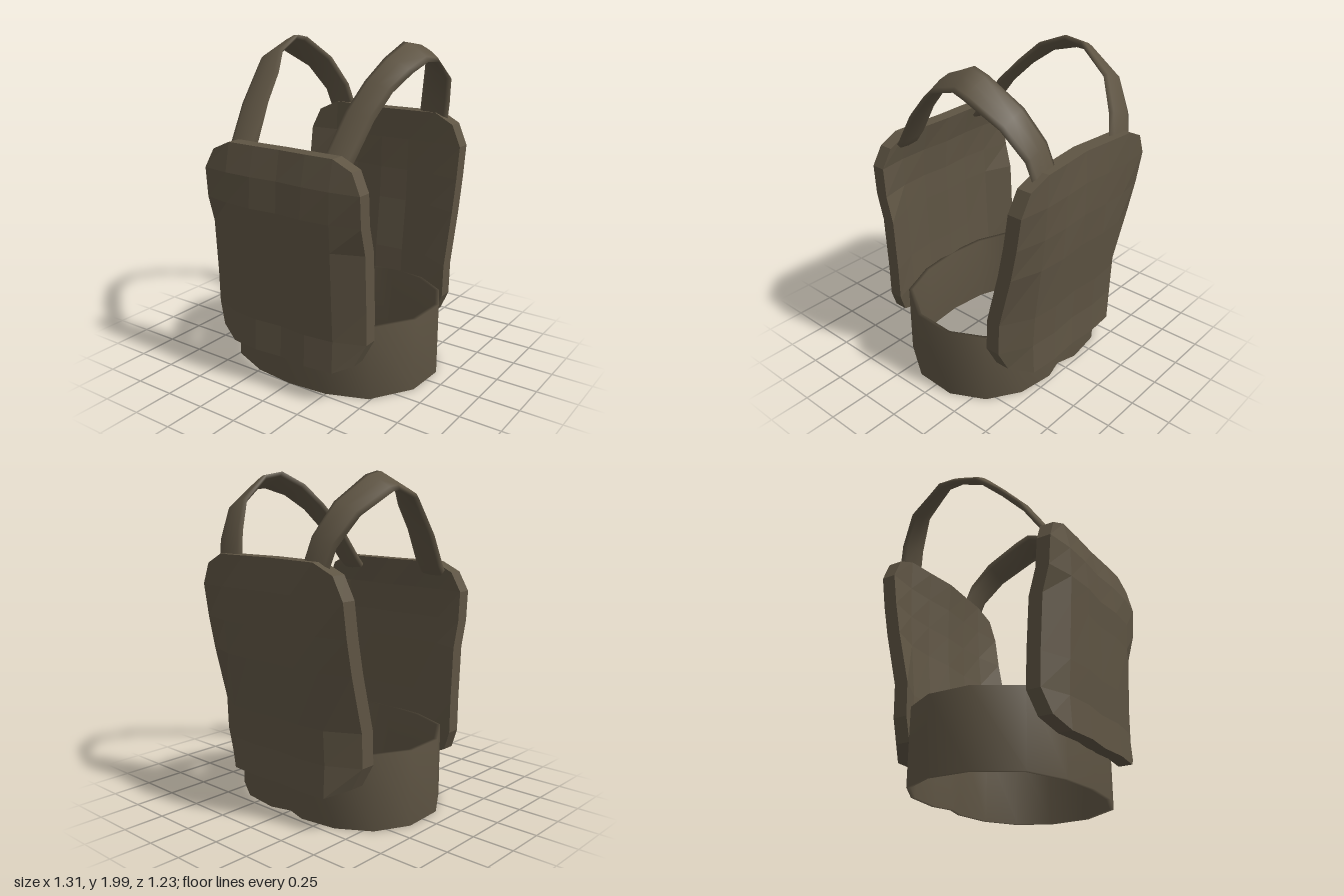
import * as THREE from 'three';

// Skin closed rings of points; loop joins the last ring to the first, caps closes folded rings
function loft(rings, { loop = false, caps = false } = {}) {
  const n = rings[0].length;
  const index = [];
  const quad = (a, b, c, d) => index.push(a, b, c, a, c, d);
  const steps = loop ? rings.length : rings.length - 1;
  for (let i = 0; i < steps; i++) {
    const p = i * n, q = ((i + 1) % rings.length) * n;
    for (let j = 0; j < n; j++) {
      const k = (j + 1) % n;
      quad(p + j, p + k, q + k, q + j);
    }
  }
  if (caps) {
    const top = (rings.length - 1) * n;
    for (let j = 0; j < n / 2 - 1; j++) {
      quad(n - 1 - j, n - 2 - j, j + 1, j);
      quad(top + j, top + j + 1, top + n - 2 - j, top + n - 1 - j);
    }
  }
  const g = new THREE.BufferGeometry();
  g.setAttribute('position', new THREE.Float32BufferAttribute(rings.flat(2), 3));
  g.setIndex(index);
  g.computeVertexNormals();
  return g;
}

// Curved armour panel facing +z: rows are [y, depth at each column from the centre out]
function plateGeometry(columns, rows, thickness) {
  const last = rows.length - 1;
  const rings = rows.map(([y, ...depth], r) => {
    const front = [];
    for (let c = -3; c <= 3; c++) {
      const a = Math.abs(c);
      let x = columns[a], py = y;
      if (a === 3 && (r === 0 || r === last)) { // clipped corners
        x *= 0.89;
        py += (rows[r === 0 ? 1 : last - 1][0] - y) * 0.32;
      }
      front.push([Math.sign(c) * x, py, depth[a]]);
    }
    const back = front.map(([x, py, z]) => [x, py, z - thickness]).reverse();
    return [...front, ...back];
  });
  const g = loft(rings, { caps: true }).toNonIndexed();
  g.computeVertexNormals(); // faceted
  return g;
}

// Flattened oval strap over one shoulder; side is 1 (left) or -1 (right)
function strapGeometry(side) {
  // x, y, z, outward tilt, from chest to back
  const stations = [
    [0.33, 1.37, 0.5, 0], [0.335, 1.43, 0.45, 0], [0.365, 1.63, 0.315, 0.08],
    [0.395, 1.77, 0.18, 0.16], [0.445, 1.875, 0.06, 0.38], [0.455, 1.935, -0.11, 0.55],
    [0.475, 1.92, -0.21, 0.55], [0.435, 1.79, -0.42, 0.4], [0.37, 1.62, -0.525, 0.15],
    [0.335, 1.46, -0.565, 0],
  ];
  const centres = stations.map(([x, y, z]) => new THREE.Vector3(x, y, z));
  const rings = stations.map((s, i) => {
    const along = centres[Math.min(i + 1, centres.length - 1)].clone()
      .sub(centres[Math.max(i - 1, 0)]).normalize();
    const across = new THREE.Vector3(Math.cos(s[3]), -Math.sin(s[3]), 0);
    across.addScaledVector(along, -across.dot(along)).normalize();
    const up = across.clone().cross(along);
    const ring = [];
    for (let k = 0; k < 8; k++) {
      const t = (k / 8) * Math.PI * 2;
      const p = centres[i].clone()
        .addScaledVector(across, -Math.cos(t) * 0.097)
        .addScaledVector(up, Math.sin(t) * 0.02);
      ring.push([p.x * side, p.y, p.z]);
    }
    return side < 0 ? ring.reverse() : ring;
  });
  return loft(rings);
}

// Waist band: a thin closed wall around a rounded outline
function beltGeometry() {
  const half = [
    [0, 0.505], [0.25, 0.48], [0.49, 0.385], [0.645, 0.14], [0.655, -0.12],
    [0.55, -0.32], [0.36, -0.44], [0.13, -0.472], [0, -0.435],
  ];
  const outline = [...half, ...half.slice(1, -1).reverse().map(([x, z]) => [-x, z])];
  const n = outline.length, height = 0.45, wall = 0.025;
  const rings = outline.map(([x, z], i) => {
    const a = outline[(i + n - 1) % n], b = outline[(i + 1) % n];
    const dx = b[0] - a[0], dz = b[1] - a[1], len = Math.hypot(dx, dz);
    const ix = x + (dz / len) * wall, iz = z - (dx / len) * wall;
    return [[x, height, z], [x, 0, z], [ix, 0, iz], [ix, height, iz]];
  });
  return loft(rings, { loop: true });
}

export function createModel() {
  const model = new THREE.Group();
  model.name = 'armourVest';
  const fabric = new THREE.MeshStandardMaterial({ color: 0x5e5443 });
  fabric.name = 'oliveFabric';
  const add = (name, geometry) => {
    const mesh = new THREE.Mesh(geometry, fabric);
    mesh.name = name;
    model.add(mesh);
    return mesh;
  };

  add('frontPlate', plateGeometry([0, 0.18, 0.36, 0.54], [
    [0.21, 0.58, 0.595, 0.575, 0.53],
    [0.4, 0.57, 0.585, 0.565, 0.497],
    [0.6, 0.58, 0.595, 0.575, 0.5],
    [0.93, 0.59, 0.605, 0.59, 0.517],
    [1.09, 0.598, 0.613, 0.6, 0.56],
    [1.27, 0.588, 0.6, 0.597, 0.572],
    [1.44, 0.555, 0.56, 0.56, 0.56],
  ], 0.085));

  const backPlate = add('backPlate', plateGeometry([0, 0.19, 0.37, 0.56], [
    [0.21, 0.54, 0.553, 0.54, 0.45],
    [0.4, 0.53, 0.545, 0.53, 0.43],
    [0.6, 0.54, 0.555, 0.54, 0.437],
    [0.93, 0.575, 0.59, 0.578, 0.52],
    [1.13, 0.588, 0.6, 0.597, 0.56],
    [1.33, 0.59, 0.605, 0.61, 0.59],
    [1.52, 0.58, 0.598, 0.613, 0.6],
  ], 0.09));
  backPlate.rotation.y = Math.PI;

  add('waistBelt', beltGeometry());
  add('leftShoulderStrap', strapGeometry(1));
  add('rightShoulderStrap', strapGeometry(-1));
  return model;
}
